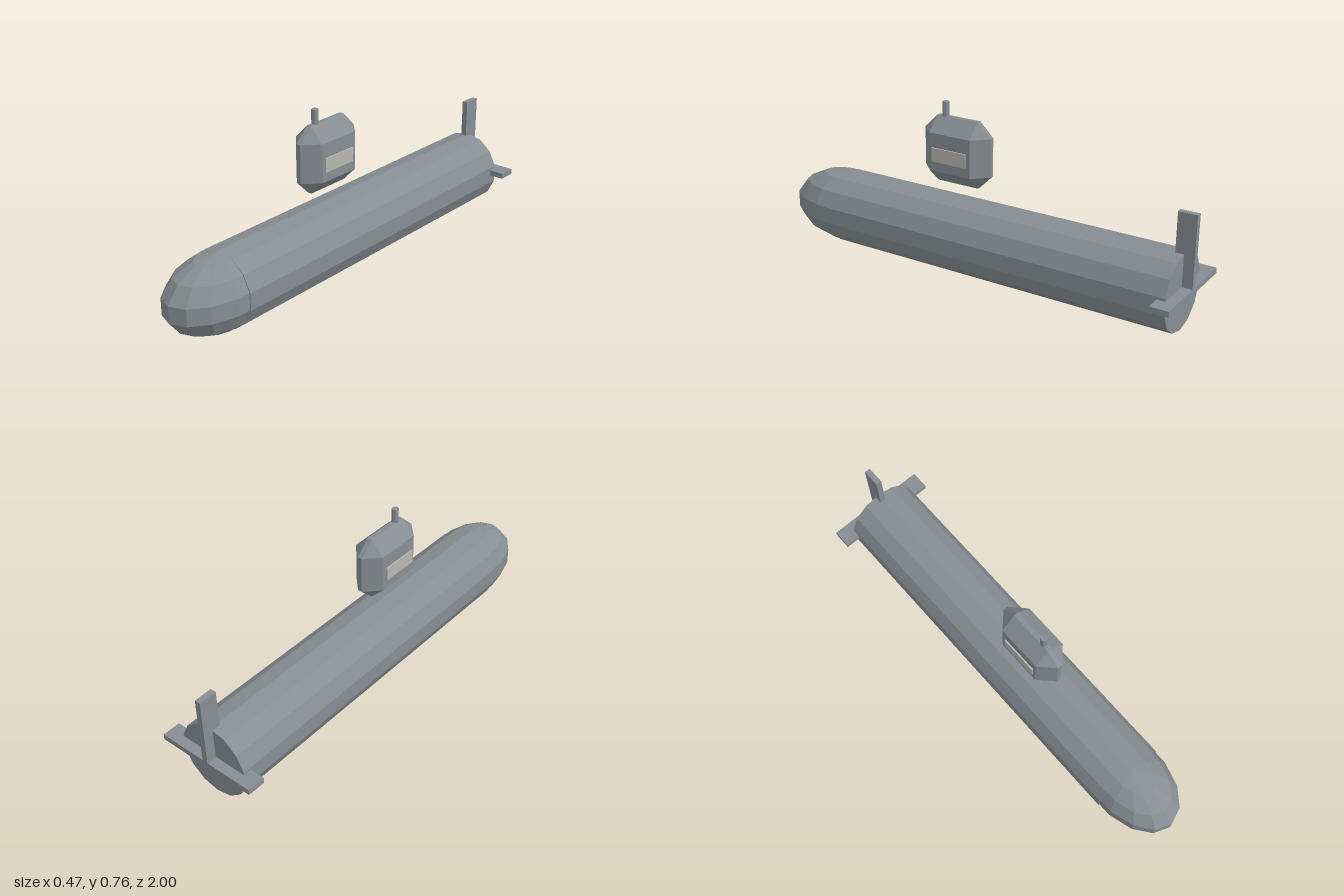
import * as THREE from 'three';
import { ConvexGeometry } from 'three/addons/geometries/ConvexGeometry.js';

export function createModel() {
  const model = new THREE.Group();
  model.name = 'submarine';

  const paint = new THREE.MeshStandardMaterial({ color: 0x868e93, flatShading: true });
  paint.name = 'hull grey';
  const pale = new THREE.MeshStandardMaterial({ color: 0xb8b6b1, flatShading: true });
  pale.name = 'window pale grey';

  const add = (name, geometry, material, x, y, z) => {
    const mesh = new THREE.Mesh(geometry, material);
    mesh.name = name;
    mesh.position.set(x, y, z);
    model.add(mesh);
    return mesh;
  };

  // Fourteen-sided hull, a corner on top, flat stern
  const sternZ = -0.955, noseZ = 0.73, axisY = 0.169;
  const hull = new THREE.CylinderGeometry(0.169, 0.169, noseZ - sternZ, 14);
  hull.rotateX(Math.PI / 2);
  add('hull', hull, paint, 0, axisY, (noseZ + sternZ) / 2);

  // Faceted, stretched nose with a meridian facing forward
  const nose = new THREE.SphereGeometry(1, 14, 7);
  nose.rotateY(Math.PI / 2);
  nose.scale(0.168, 0.168, 0.277);
  add('nose', nose, paint, 0, axisY + 0.001, noseZ);

  // Stern fins
  add('sternPlane', new THREE.BoxGeometry(0.466, 0.025, 0.082), paint, 0, 0.1825, -0.959);
  add('rudder', new THREE.BoxGeometry(0.026, 0.313, 0.082), paint, 0, 0.3515, -0.959);

  // Chamfered tower: three crossed boxes wrapped in one convex skin
  const corners = [];
  for (const [hx, hy, hz] of [[0.073, 0.085, 0.1025], [0.01, 0.1485, 0.1025], [0.01, 0.085, 0.1675]]) {
    for (const sx of [-1, 1]) for (const sy of [-1, 1]) for (const sz of [-1, 1]) {
      corners.push(new THREE.Vector3(sx * hx, sy * hy, sz * hz));
    }
  }
  add('tower', new ConvexGeometry(corners), paint, 0, 0.552, 0.1025);

  // Periscope
  add('periscope', new THREE.CylinderGeometry(0.015, 0.015, 0.083, 8), paint, 0, 0.7215, 0.168);

  // Window plates on both sides of the tower
  for (const side of [-1, 1]) {
    add(side > 0 ? 'leftWindow' : 'rightWindow',
      new THREE.BoxGeometry(0.008, 0.062, 0.172), pale, side * 0.0755, 0.542, 0.105);
  }

  return model;
}
